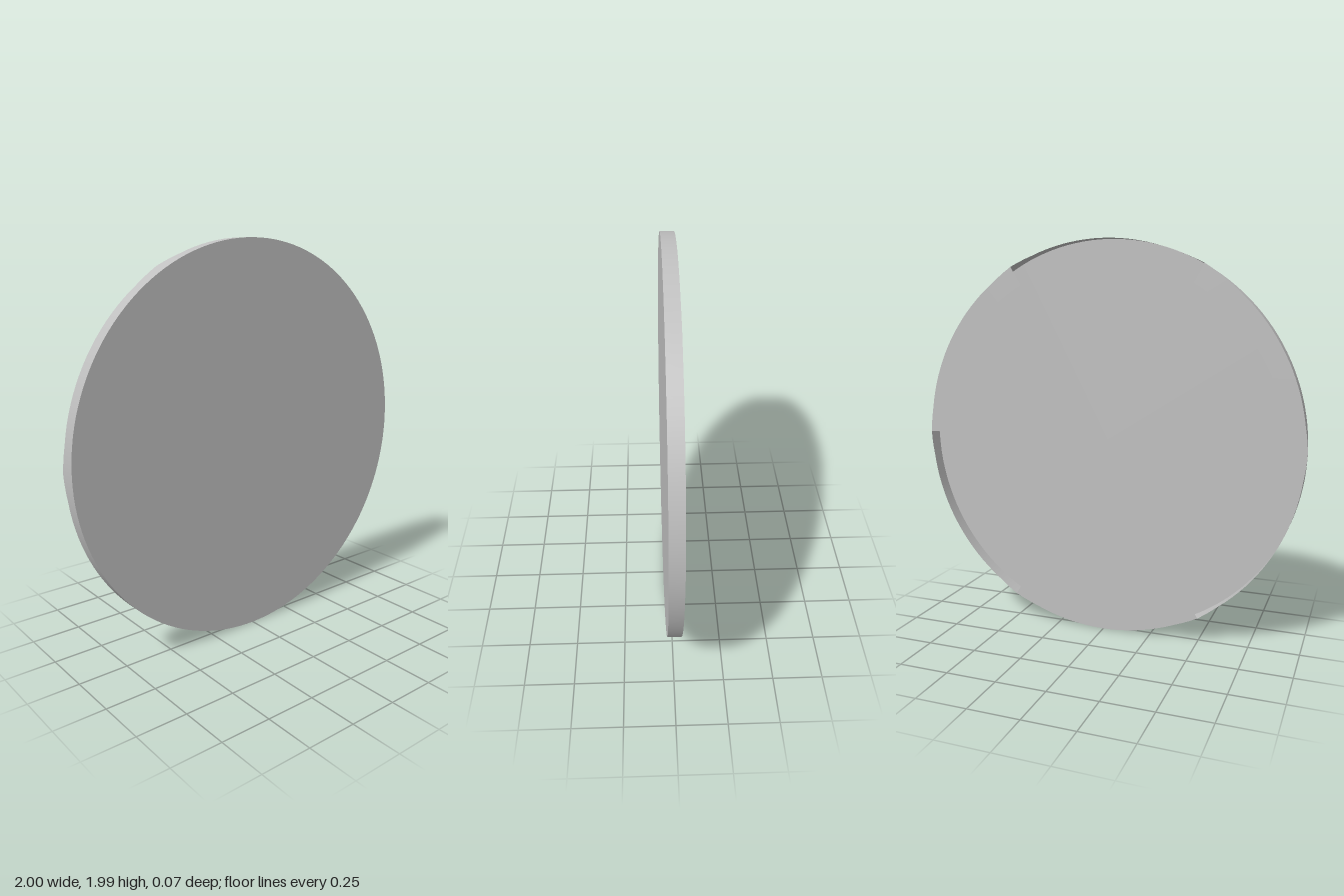
import * as THREE from 'three';

const R = 0.993;      // lid radius
const HALF = 0.034;   // half of the depth
const LIP_R = 0.895;  // inner radius of the retaining lips
const STEP = Math.PI / 3;

// The back edge flares slightly outward at each end of a lip.
function flareBack(geometry) {
  const p = geometry.attributes.position;
  for (let i = 0; i < p.count; i++) {
    const x = p.getX(i), y = p.getY(i);
    if (p.getZ(i) > 0 || Math.hypot(x, y) < R - 0.01) continue;
    const a = Math.atan2(y, x);
    const off = Math.abs(a - Math.round(a / STEP) * STEP);
    const k = 1 + 0.007 * Math.max(0, 1 - off / 0.13);
    p.setXY(i, x * k, y * k);
  }
  return geometry;
}

export function createModel() {
  const grey = new THREE.MeshStandardMaterial({ color: 0xc0c0c0, side: THREE.DoubleSide });
  grey.name = 'plain grey';
  const group = new THREE.Group();
  group.name = 'lid';

  const add = (name, geometry) => {
    const mesh = new THREE.Mesh(geometry, grey);
    mesh.name = name;
    mesh.position.y = 0.995;
    group.add(mesh);
  };

  // Flat front face
  add('frontPlate', new THREE.CircleGeometry(R, 144).translate(0, 0, HALF));

  // Thin wall around the edge, open at the back
  const wall = new THREE.CylinderGeometry(R, R, 2 * HALF, 144, 1, true).rotateX(Math.PI / 2);
  add('rimWall', flareBack(wall));

  // Three inward lips on the back, each spanning 60 degrees
  for (let i = 0; i < 3; i++) {
    const lip = new THREE.RingGeometry(LIP_R, R, 24, 1, i * 2 * STEP, STEP)
      .rotateY(Math.PI).translate(0, 0, -HALF);
    add('backLip' + (i + 1), flareBack(lip));
  }
  return group;
}
